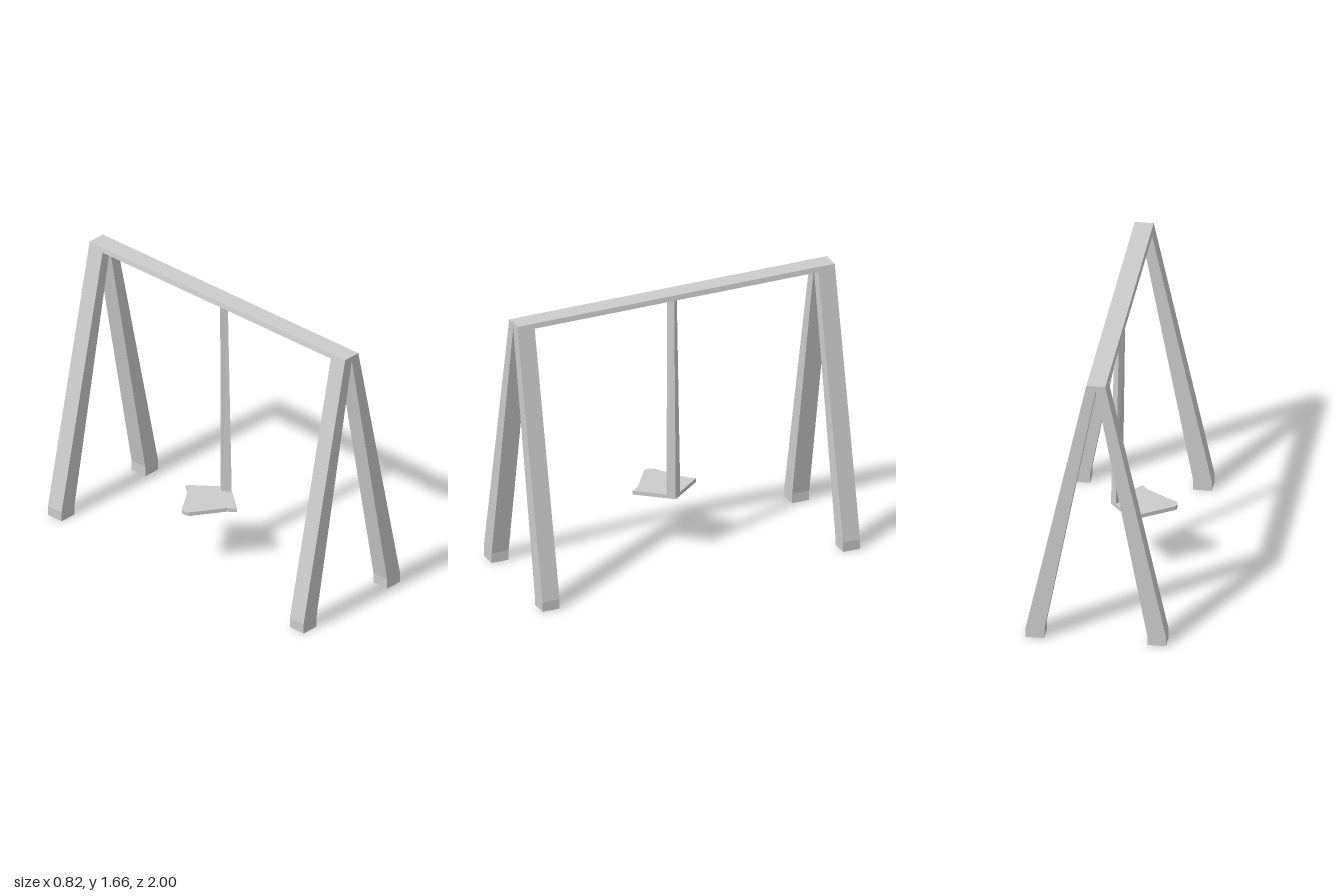
import * as THREE from 'three';

const material = new THREE.MeshStandardMaterial({ color: 0xcccccc, flatShading: true });

// Closed outline from a half outline, mirrored across the first or second axis
function mirroredShape(half, axis) {
  const other = half.filter(p => p[axis] !== 0).reverse()
    .map(([a, b]) => (axis === 0 ? [-a, b] : [a, -b]));
  return new THREE.Shape([...half, ...other].map(([a, b]) => new THREE.Vector2(a, b)));
}

function extrude(name, shape, depth) {
  const geometry = new THREE.ExtrudeGeometry(shape, { depth, bevelEnabled: false });
  const mesh = new THREE.Mesh(geometry, material);
  mesh.name = name;
  return mesh;
}

export function createModel() {
  const group = new THREE.Group();
  group.name = 'swing';

  // Two A-shaped end frames with short upright feet
  const frameShape = mirroredShape(
    [[0, 1.63], [0.298, 0.06], [0.298, 0], [0.406, 0], [0.406, 0.06], [0.055, 1.66]], 0);
  for (const [name, z] of [['frontFrame', 0.893], ['backFrame', -1]]) {
    const frame = extrude(name, frameShape, 0.107);
    frame.position.z = z;
    group.add(frame);
  }

  // Flat top beam, its sides following the slope of the legs
  const beam = extrude('topBeam', mirroredShape([[0.061, 1.63], [0.055, 1.66]], 0), 1.786);
  beam.position.z = -0.893;
  group.add(beam);

  // Hanging post: diamond section, leaning and widening toward the seat
  const postGeometry = new THREE.CylinderGeometry(1, 1, 1.27, 4);
  const pos = postGeometry.attributes.position;
  for (let i = 0; i < pos.count; i++) {
    const top = pos.getY(i) > 0;
    pos.setX(i, pos.getX(i) * (top ? 0.031 : 0.0335) + (top ? 0 : 0.0185));
    pos.setZ(i, pos.getZ(i) * (top ? 0.03 : 0.044));
  }
  postGeometry.computeVertexNormals();
  const post = new THREE.Mesh(postGeometry, material);
  post.name = 'hangingPost';
  post.position.y = 0.995;
  group.add(post);

  // Seat: thin pointed plate at the foot of the post
  const seat = extrude('seat', mirroredShape(
    [[0.052, 0], [0.02, 0.044], [-0.104, 0.2], [-0.14, 0.152], [-0.325, 0.027], [-0.332, 0.008]], 1), 0.024);
  seat.rotation.x = -Math.PI / 2;
  seat.position.y = 0.361;
  group.add(seat);

  // Slight skew of the whole swing about the vertical
  group.rotation.y = 0.004;
  return group;
}
